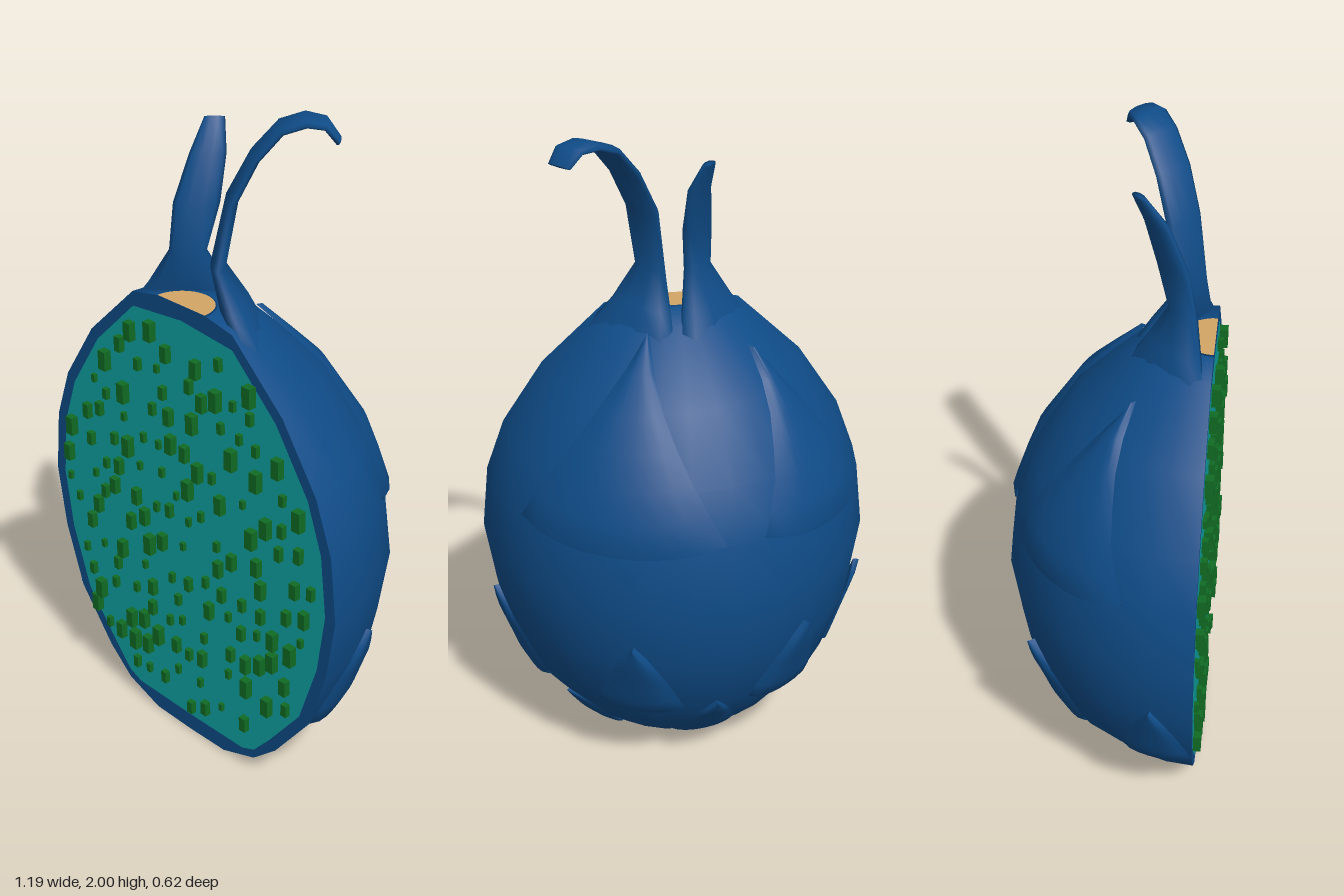
import * as THREE from 'three';
import { mergeGeometries } from 'three/addons/utils/BufferGeometryUtils.js';

const FRONT = 0.29; // plane of the cut face
// half outline of the fruit: radius, height
const PROFILE = [[0, 0], [0.15, 0.003], [0.28, 0.05], [0.37, 0.13], [0.5, 0.3], [0.565, 0.5], [0.595, 0.7],
  [0.573, 0.9], [0.515, 1.06], [0.39, 1.25], [0.2, 1.43], [0.1, 1.45]];
// half outline of the flesh
const FLESH = [[0, 0.057], [0.23, 0.06], [0.28, 0.08], [0.345, 0.155], [0.465, 0.31], [0.53, 0.51], [0.557, 0.7],
  [0.537, 0.89], [0.485, 1.04], [0.365, 1.225], [0.2, 1.385], [0.15, 1.39], [0, 1.405]];

function radiusAt(profile, y) {
  for (let i = 1; i < profile.length; i++) {
    const [r0, y0] = profile[i - 1], [r1, y1] = profile[i];
    if (y <= y1) return r0 + (r1 - r0) * (y - y0) / (y1 - y0);
  }
  return 0;
}

// full closed outline from a half profile
function outline(profile) {
  const right = profile.map(([x, y]) => new THREE.Vector2(x, y));
  const left = profile.filter(p => p[0] > 0).reverse().map(([x, y]) => new THREE.Vector2(-x, y));
  return [...right, ...left];
}

// surface through rows of equally many points
function gridGeometry(rows, closed) {
  const n = rows[0].length, index = [];
  for (let i = 0; i < rows.length - 1; i++) {
    for (let j = 0; j < (closed ? n : n - 1); j++) {
      const k = (j + 1) % n;
      const a = i * n + j, b = i * n + k, c = (i + 1) * n + j, d = (i + 1) * n + k;
      index.push(a, b, c, b, d, c);
    }
  }
  const g = new THREE.BufferGeometry().setFromPoints(rows.flat());
  g.setIndex(index);
  g.computeVertexNormals();
  return g;
}

// leaf: elliptical rings [x, y, z, half width, half thickness] along a path
function leafGeometry(rings, wide) {
  const centres = rings.map(r => new THREE.Vector3(r[0], r[1], r[2]));
  const rows = rings.map(([, , , w, t], i) => {
    const tangent = centres[Math.min(i + 1, rings.length - 1)].clone().sub(centres[Math.max(i - 1, 0)]).normalize();
    const thin = new THREE.Vector3().crossVectors(tangent, wide).normalize();
    return Array.from({ length: 10 }, (_, j) => {
      const a = j / 10 * Math.PI * 2;
      return centres[i].clone().addScaledVector(wide, w * Math.cos(a)).addScaledVector(thin, t * Math.sin(a));
    });
  });
  const last = centres[centres.length - 1];
  rows.push(rows[0].map(() => last.clone()));
  return gridGeometry(rows, true);
}

// pointed scale lying on the skin; angle 0 is the back, positive towards +x
function scaleGeometry(angle, half, yBase, yTip, tipLift) {
  const rows = [];
  for (let i = -1; i <= 6; i++) {
    const t = Math.max(i, 0) / 6;
    const row = [];
    for (let j = 0; j <= 8; j++) {
      const u = j / 4 - 1;
      const y = yBase + (yTip - yBase) * t + 0.03 * u * u * (1 - t);
      const a = THREE.MathUtils.degToRad(angle - u * half * Math.pow(1 - t, 0.8));
      const lift = i < 0 ? -0.01 : (0.016 + tipLift * t * t) * (1 - 0.7 * u ** 4);
      const r = radiusAt(PROFILE, y) + lift;
      row.push(new THREE.Vector3(r * Math.sin(a), y, FRONT - r * Math.cos(a)));
    }
    rows.push(row);
  }
  return gridGeometry(rows, false);
}

// scattered seeds on the cut face
function seedsGeometry() {
  let s = 12345;
  const rnd = () => (s = (s * 16807) % 2147483647) / 2147483647;
  const placed = [], boxes = [];
  for (let tries = 0; tries < 6000 && boxes.length < 140; tries++) {
    const x = (rnd() * 2 - 1) * 0.53, y = 0.09 + rnd() * 1.27, size = rnd();
    if (Math.abs(x) > radiusAt(FLESH, y) - 0.03) continue;
    if (placed.some(p => Math.hypot(p[0] - x, (p[1] - y) * 0.8) < 0.055)) continue;
    placed.push([x, y]);
    const w = 0.014 + 0.016 * size, h = 0.024 + 0.038 * size, d = 0.012 + 0.013 * size;
    boxes.push(new THREE.BoxGeometry(w, h, d).translate(x, y, FRONT + d / 2));
  }
  return mergeGeometries(boxes);
}

export function createModel() {
  const model = new THREE.Group();
  model.name = 'halfFruit';
  const material = (name, color, side = THREE.FrontSide) => {
    const m = new THREE.MeshStandardMaterial({ color, side });
    m.name = name;
    return m;
  };
  const skin = material('blueSkin', 0x0f4c88, THREE.DoubleSide);
  const flesh = material('tealFlesh', 0x0fa3a3);
  const seed = material('greenSeed', 0x116b24);
  const stem = material('tanStem', 0xd2a566);
  const add = (name, geometry, mat) => {
    const mesh = new THREE.Mesh(geometry, mat);
    mesh.name = name;
    model.add(mesh);
    return mesh;
  };

  // rounded back of the fruit
  const points = PROFILE.map(p => new THREE.Vector2(...p));
  add('skin', new THREE.LatheGeometry(points, 14, Math.PI / 2, Math.PI).translate(0, 0, FRONT), skin);

  // cut face: rim, flesh and seeds
  const rim = new THREE.Shape(outline(PROFILE));
  rim.holes.push(new THREE.Path(outline(FLESH).reverse()));
  add('rim', new THREE.ShapeGeometry(rim).translate(0, 0, FRONT), skin);
  add('flesh', new THREE.ShapeGeometry(new THREE.Shape(outline(FLESH))).translate(0, 0, FRONT), flesh);
  add('seeds', seedsGeometry(), seed);

  // cut stem on top
  const cap = new THREE.CircleGeometry(0.095, 16, 0, Math.PI).rotateX(-Math.PI / 2);
  add('stemCut', cap.translate(0, 1.452, FRONT), stem);

  // two curling leaves
  const h = Math.SQRT1_2;
  add('rightLeaf', leafGeometry([
    [-0.12, 1.36, 0.16, 0.17, 0.05], [-0.09, 1.46, 0.18, 0.11, 0.042], [-0.065, 1.57, 0.2, 0.052, 0.028],
    [-0.06, 1.7, 0.17, 0.064, 0.022], [-0.06, 1.83, 0.125, 0.05, 0.018], [-0.08, 1.915, 0.08, 0.028, 0.01],
  ], new THREE.Vector3(h, 0, -h)), skin);
  add('leftLeaf', leafGeometry([
    [0.14, 1.36, 0.165, 0.17, 0.05], [0.1, 1.46, 0.185, 0.11, 0.042], [0.07, 1.57, 0.215, 0.055, 0.022],
    [0.095, 1.76, 0.185, 0.06, 0.018], [0.145, 1.88, 0.15, 0.06, 0.016], [0.2, 1.96, 0.11, 0.058, 0.015],
    [0.255, 1.985, 0.075, 0.058, 0.014], [0.3, 1.98, 0.05, 0.05, 0.013], [0.33, 1.94, 0.035, 0.04, 0.01],
  ], new THREE.Vector3(h, 0, h)), skin);

  // scales: angle, half angle, base height, tip height, tip lift
  [
    [24, 33, 0.88, 1.42, 0.01], [-45, 24, 0.88, 1.36, 0.015],
    [73, 17, 0.28, 0.58, 0.01], [18, 15, 0.28, 0.58, 0.02], [-35, 15, 0.28, 0.58, 0.02], [-78, 12, 0.28, 0.55, 0.01],
    [-8, 16, 0.08, 0.33, 0.01], [48, 14, 0.08, 0.28, 0.0],
  ].forEach((s, i) => add('scale' + (i + 1), scaleGeometry(...s), skin));

  return model;
}
